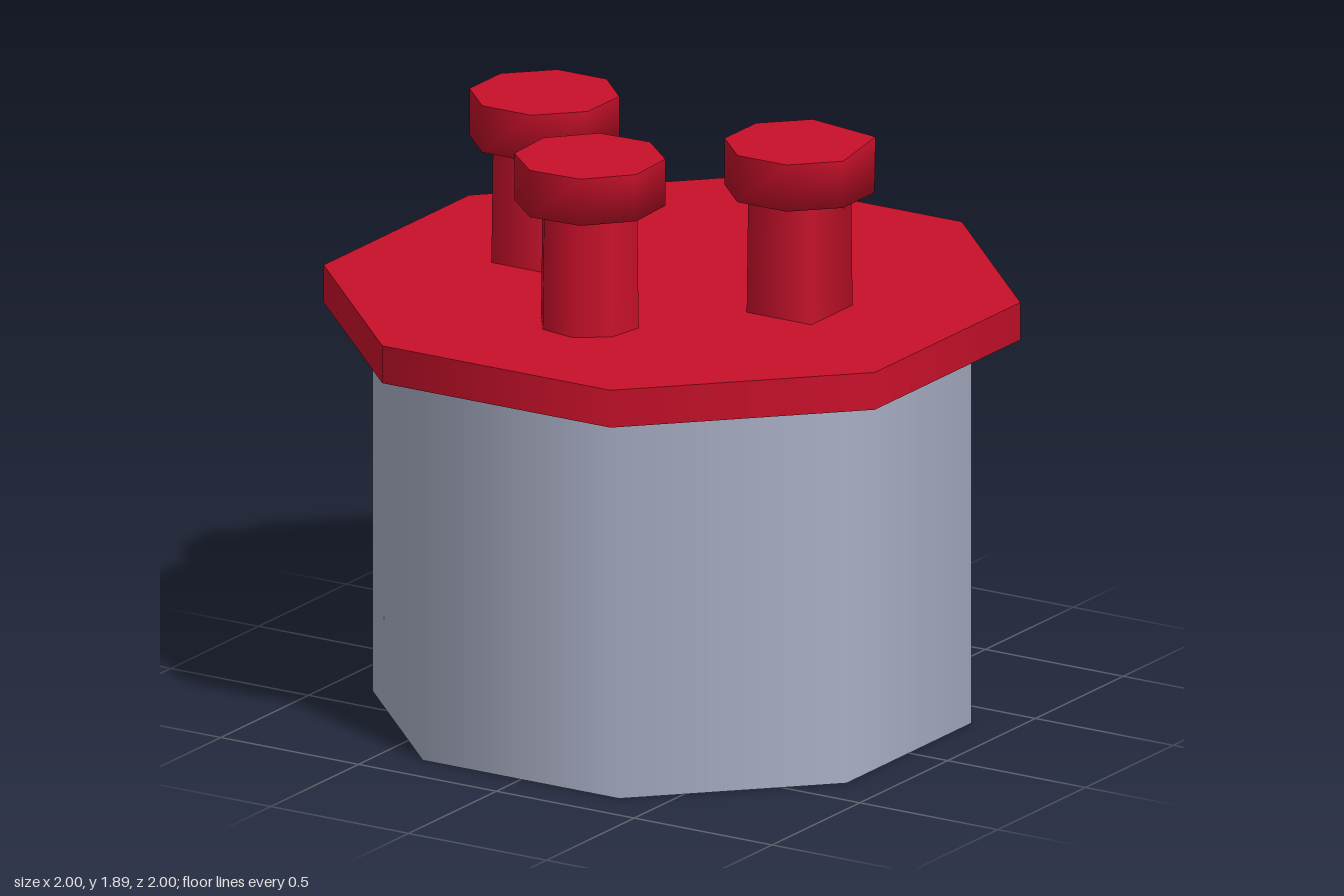
import * as THREE from 'three';
import { mergeGeometries } from 'three/addons/utils/BufferGeometryUtils.js';

const EIGHTH = Math.PI / 8;
const flat = 1 / Math.cos(EIGHTH); // half width of an octagon -> corner radius

// Octagonal screw head: side and underside share smooth normals, the top is flat.
function headGeometry(halfWidth, height, turn, chipped) {
  const bottom = [], top = [];
  for (let i = 0; i < 8; i++) {
    const a = EIGHTH + turn + i * Math.PI / 4;
    const x = halfWidth * flat * Math.sin(a), z = halfWidth * flat * Math.cos(a);
    bottom.push([x, 0, z]);
    // two top corners collapse into one on the chipped head
    top.push(chipped && (i === 2 || i === 3) ? [0.167, height, -0.17] : [x, height, z]);
  }
  const sideIndex = [], topIndex = [];
  for (let i = 0; i < 8; i++) {
    const j = (i + 1) % 8;
    sideIndex.push(i, j, 8 + j, i, 8 + j, 8 + i, 16, j, i);
    topIndex.push(8, i, j);
  }
  const build = (points, index) => {
    const g = new THREE.BufferGeometry();
    g.setAttribute('position', new THREE.Float32BufferAttribute(points.flat(), 3));
    g.setIndex(index);
    g.computeVertexNormals();
    return g;
  };
  return mergeGeometries([
    build([...bottom, ...top, [0, 0, 0]], sideIndex),
    build([...top, [0, height, 0]], topIndex),
  ]);
}

export function createModel() {
  const model = new THREE.Group();
  const red = new THREE.MeshStandardMaterial({ color: 0xc8102a });
  red.name = 'red';
  const grey = new THREE.MeshStandardMaterial({ color: 0xa8aec4, side: THREE.DoubleSide });
  grey.name = 'grey';

  const add = (parent, name, geometry, material, x, y, z) => {
    const mesh = new THREE.Mesh(geometry, material);
    mesh.name = name;
    mesh.position.set(x, y, z);
    parent.add(mesh);
  };

  // Hollow body, open underneath
  const bodyR = 0.86 * flat;
  add(model, 'body', new THREE.CylinderGeometry(bodyR, bodyR, 1.24, 8, 1, true, EIGHTH), grey, 0, 0.62, 0);

  // Overhanging lid
  add(model, 'lid', new THREE.CylinderGeometry(flat, flat, 0.12, 8, 1, false, EIGHTH), red, 0, 1.3, 0);

  // Three posts with octagonal heads
  const posts = [
    { name: 'leftPost', x: 0.463, z: 0, sides: 4, start: Math.PI / 4, r: 0.166, turn: 0, chipped: true },
    { name: 'rightPost', x: -0.463, z: 0, sides: 4, start: Math.PI / 4, r: 0.166, turn: 0 },
    { name: 'frontPost', x: -0.003, z: 0.463, sides: 8, start: 0.218, r: 0.159, turn: 0.05 },
  ];
  for (const p of posts) {
    const post = new THREE.Group();
    post.name = p.name;
    post.position.set(p.x, 0, p.z);
    add(post, 'stem', new THREE.CylinderGeometry(p.r * 0.97, p.r, 0.39, p.sides, 1, true, p.start), red, 0, 1.555, 0);
    add(post, 'head', headGeometry(0.215, 0.15, p.turn, p.chipped), red, 0, 1.745, 0);
    model.add(post);
  }
  return model;
}
